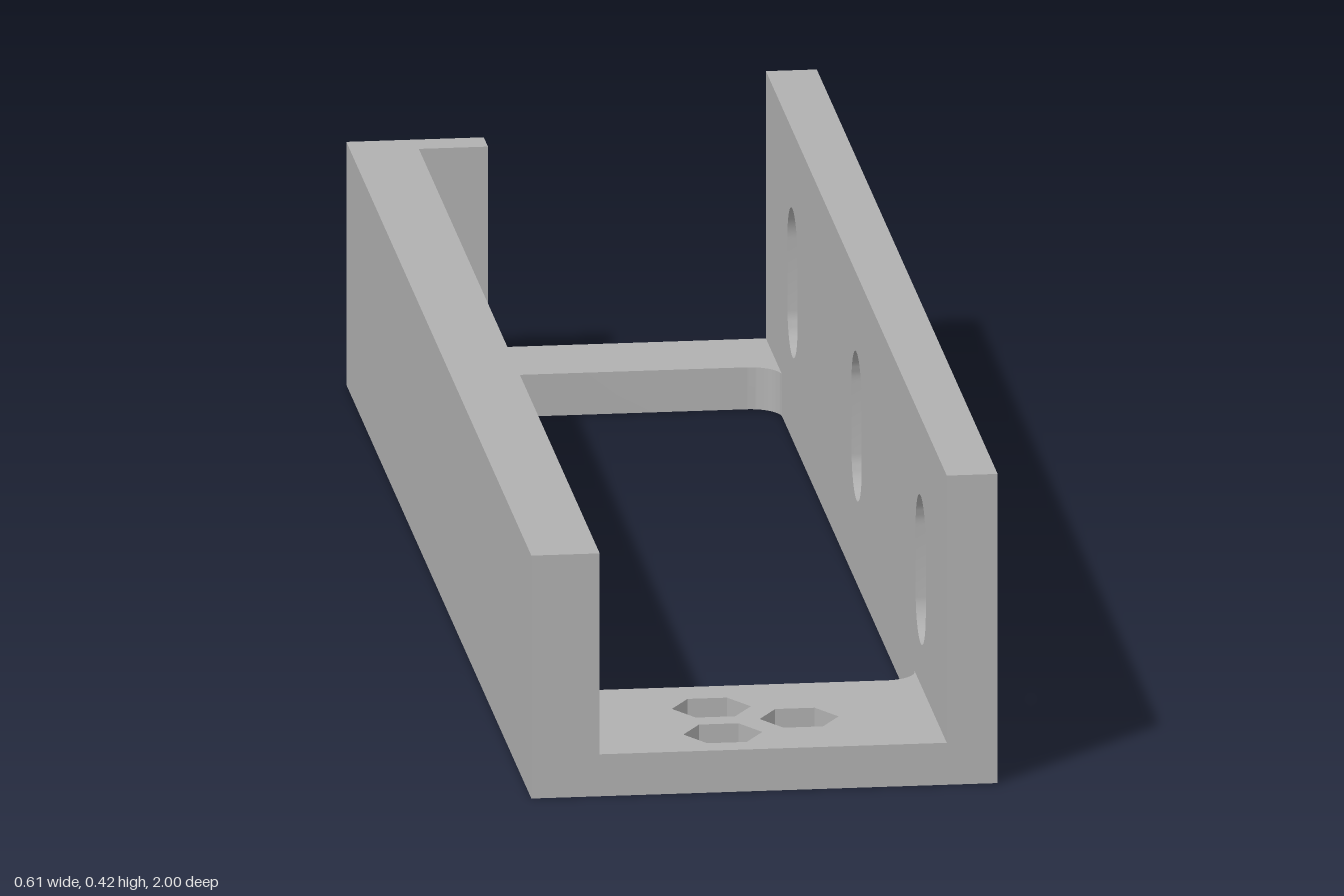
import * as THREE from 'three';
import { toCreasedNormals } from 'three/addons/utils/BufferGeometryUtils.js';

const grey = new THREE.MeshStandardMaterial({ color: 0xb0b0b0 });
grey.name = 'grey';

// Key planes of the tray
const LEFT_OUT = -0.307, LEFT_IN = -0.217, RIGHT_IN = 0.24, RIGHT_OUT = 0.307;
const FRONT = 1, BACK = -0.955, HOOK_BACK = -1;
const FLOOR = 0.057, LEFT_TOP = 0.33, RIGHT_TOP = 0.42;

function extrude(shape, depth) {
  return new THREE.ExtrudeGeometry(shape, { depth, bevelEnabled: false, curveSegments: 12 });
}

function add(group, name, geometry) {
  const mesh = new THREE.Mesh(toCreasedNormals(geometry, Math.PI / 6), grey);
  mesh.name = name;
  group.add(mesh);
}

function polygon(points) {
  return new THREE.Shape(points.map(([x, y]) => new THREE.Vector2(x, y)));
}

// Side profile drawn as (-z, y), extruded from x0 to x1
function sideLayer(shape, x0, x1) {
  return extrude(shape, x1 - x0).rotateY(Math.PI / 2).translate(x0, 0, 0);
}

// Upright slot with round ends
function slot(z, y, radius, straight) {
  const path = new THREE.Path();
  path.absarc(-z, y + straight / 2, radius, 0, Math.PI, false);
  path.absarc(-z, y - straight / 2, radius, Math.PI, Math.PI * 2, false);
  path.closePath();
  return path;
}

// Floor plate drawn as (x, -z), with fillets where it meets the opening
function floorPlate(zOuter, zEdge, holes = []) {
  const r = 0.042, outer = -zOuter, edge = -zEdge, s = Math.sign(edge - outer);
  const shape = new THREE.Shape();
  shape.moveTo(LEFT_IN, outer);
  shape.lineTo(RIGHT_IN, outer);
  shape.absarc(RIGHT_IN - r, edge + s * r, r, 0, -s * Math.PI / 2, s > 0);
  shape.absarc(LEFT_IN + r, edge + s * r, r, -s * Math.PI / 2, -s * Math.PI, s > 0);
  shape.closePath();
  shape.holes.push(...holes);
  return extrude(shape, FLOOR).rotateX(-Math.PI / 2);
}

function hexHole(x, z) {
  const points = [];
  for (let i = 0; i < 6; i++) {
    const a = i * Math.PI / 3;
    points.push(new THREE.Vector2(x + 0.052 * Math.cos(a), -z + 0.052 * Math.sin(a)));
  }
  return new THREE.Path(points).closePath();
}

export function createModel() {
  const group = new THREE.Group();
  group.name = 'mountingTray';

  // Low wall: plain outer layer, inner layer notched from below
  const notchX = LEFT_IN - 0.055, notchTop = 0.152, notchFront = -0.215, notchBack = -0.725;
  add(group, 'lowWallOuter', sideLayer(polygon([
    [-FRONT, 0], [-HOOK_BACK, 0], [-HOOK_BACK, LEFT_TOP], [-FRONT, LEFT_TOP],
  ]), LEFT_OUT, notchX));
  add(group, 'lowWallInner', sideLayer(polygon([
    [-FRONT, 0], [-notchFront, 0], [-notchFront, notchTop], [-notchBack, notchTop],
    [-notchBack, 0], [-HOOK_BACK, 0], [-HOOK_BACK, LEFT_TOP], [-FRONT, LEFT_TOP],
  ]), notchX, LEFT_IN));

  // Return lip at the back end of the low wall
  const lipRight = -0.126;
  add(group, 'backLip', new THREE.BoxGeometry(lipRight - LEFT_IN, LEFT_TOP, BACK - HOOK_BACK)
    .translate((lipRight + LEFT_IN) / 2, LEFT_TOP / 2, (BACK + HOOK_BACK) / 2));

  // Tall wall: narrow slots outside, wider counterbores inside
  const middle = (RIGHT_IN + RIGHT_OUT) / 2;
  const layers = [
    ['tallWallInner', RIGHT_IN, middle, 0.055],
    ['tallWallOuter', middle, RIGHT_OUT, 0.027],
  ];
  for (const [name, x0, x1, radius] of layers) {
    const shape = polygon([[-FRONT, 0], [-BACK, 0], [-BACK, RIGHT_TOP], [-FRONT, RIGHT_TOP]]);
    for (const z of [0.718, 0.025, -0.668]) shape.holes.push(slot(z, 0.213, radius, 0.091));
    add(group, name, sideLayer(shape, x0, x1));
  }

  // Floor at both ends of the long opening
  const hexes = [[-0.045, 0.795], [-0.045, 0.919], [0.063, 0.857]].map(([x, z]) => hexHole(x, z));
  add(group, 'frontFloor', floorPlate(FRONT, 0.693, hexes));
  add(group, 'backFloor', floorPlate(BACK, -0.82));

  return group;
}
